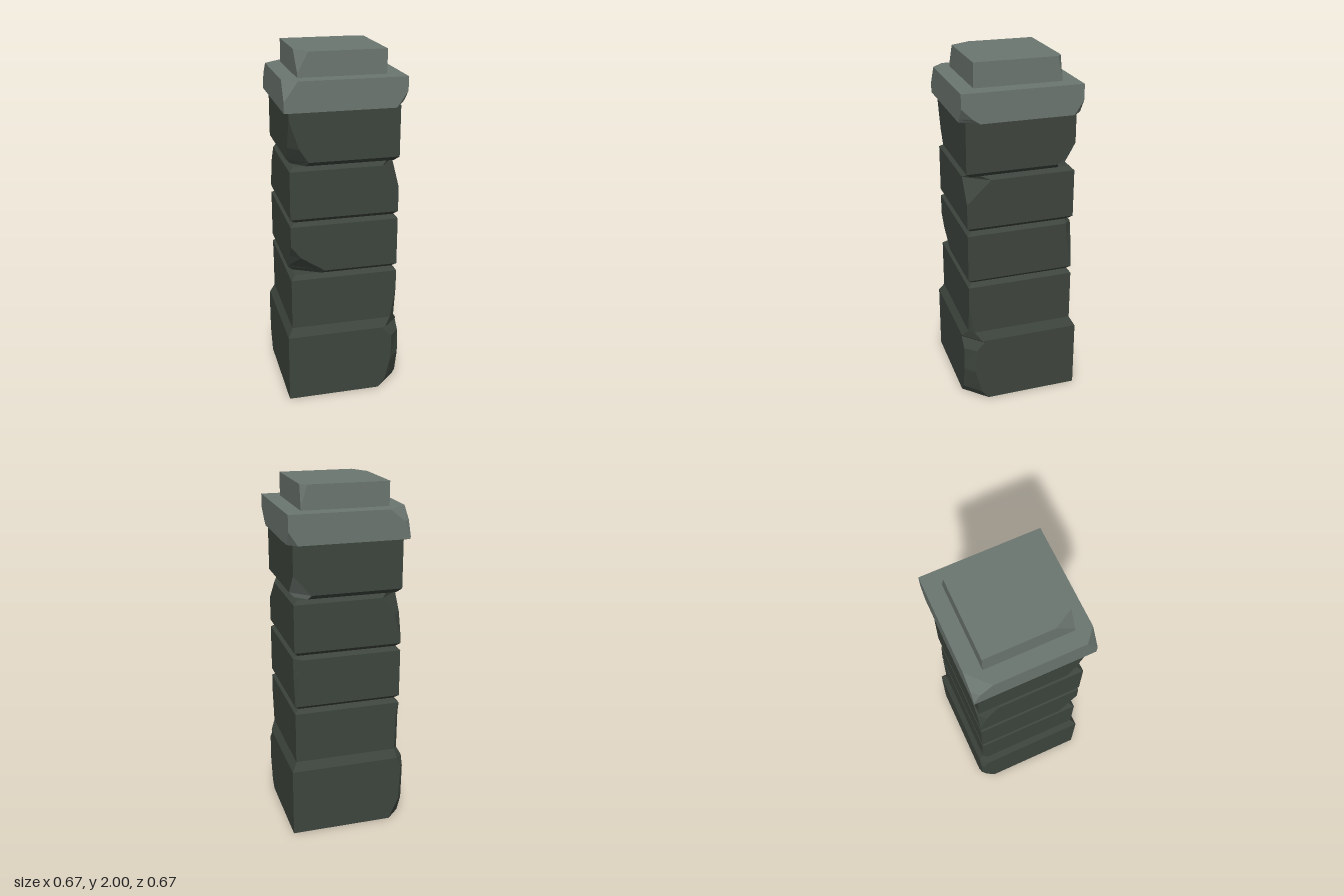
import * as THREE from 'three';

const darkStone = new THREE.MeshStandardMaterial({ color: 0x3d443d });
darkStone.name = 'darkStone';
const paleStone = new THREE.MeshStandardMaterial({ color: 0x6c7670 });
paleStone.name = 'paleStone';

// Corners in counter-clockwise order seen from above
const CORNERS = [['frontLeft', 1, 1], ['backLeft', 1, -1], ['backRight', -1, -1], ['frontRight', -1, 1]];

// Piecewise linear lookup in rows of [y, ...values]; zero outside when open
function sample(rows, y, col, open) {
  if (!rows) return 0;
  const last = rows.length - 1;
  if (y < rows[0][0]) return open ? 0 : rows[0][col];
  if (y > rows[last][0]) return open ? 0 : rows[last][col];
  for (let i = 0; i < last; i++) {
    const a = rows[i], b = rows[i + 1];
    if (y <= b[0]) return a[col] + (b[col] - a[col]) * (y - a[0]) / (b[0] - a[0]);
  }
  return rows[last][col];
}

// Square block: profile rows [y, half width]; chips per corner, rows [y, cut along x, cut along z]
function block(name, material, profile, chips = {}, paleCorner = null) {
  const ys = new Set(profile.map(p => p[0]));
  for (const rows of Object.values(chips)) rows.forEach(r => ys.add(r[0]));
  const levels = [...ys].sort((a, b) => a - b);

  const rings = levels.map(y => {
    const h = sample(profile, y, 1, false);
    const ring = [];
    for (const [corner, sx, sz] of CORNERS) {
      const cx = sample(chips[corner], y, 1, true);
      const cz = sample(chips[corner], y, 2, true);
      const onZ = new THREE.Vector3(sx * (h - cx), y, sz * h);
      const onX = new THREE.Vector3(sx * h, y, sz * (h - cz));
      ring.push(...(sx * sz > 0 ? [onZ, onX] : [onX, onZ]));
    }
    return ring;
  });

  const faces = [[], []];
  const tri = (slot, a, b, c) => {
    const area = b.clone().sub(a).cross(c.clone().sub(a)).length();
    if (area > 1e-8) for (const p of [a, b, c]) faces[slot].push(p.x, p.y, p.z);
  };
  for (let k = 0; k < rings.length - 1; k++) {
    const lo = rings[k], hi = rings[k + 1];
    for (let i = 0; i < 8; i++) {
      const j = (i + 1) % 8;
      const slot = i % 2 === 0 && CORNERS[i / 2][0] === paleCorner ? 1 : 0;
      tri(slot, lo[i], lo[j], hi[j]);
      tri(slot, lo[i], hi[j], hi[i]);
    }
  }
  const bottom = rings[0], top = rings[rings.length - 1];
  for (let i = 1; i < 7; i++) {
    tri(0, bottom[0], bottom[i + 1], bottom[i]);
    tri(0, top[0], top[i], top[i + 1]);
  }

  const geometry = new THREE.BufferGeometry();
  geometry.setAttribute('position', new THREE.Float32BufferAttribute(faces.flat(), 3));
  geometry.computeVertexNormals();
  geometry.addGroup(0, faces[0].length / 3, 0);
  if (faces[1].length) geometry.addGroup(faces[0].length / 3, faces[1].length / 3, 1);
  const mesh = new THREE.Mesh(geometry, paleCorner ? [material, paleStone] : material);
  mesh.name = name;
  return mesh;
}

export function createModel() {
  const pillar = new THREE.Group();
  pillar.name = 'stonePillar';
  const W = 0.305, G = 0.28; // shaft and groove half widths

  // Wide foot with a bevelled shoulder
  pillar.add(block('base', darkStone, [[0, 0.333], [0.4, 0.333], [0.45, W]], {
    frontLeft: [[0, 0.13, 0.13], [0.05, 0.09, 0.09], [0.2, 0.055, 0.05], [0.34, 0.055, 0.06],
      [0.39, 0.11, 0.11], [0.45, 0.03, 0.03]],
    backRight: [[0, 0.08, 0.08], [0.12, 0.025, 0.025], [0.34, 0.015, 0.015], [0.4, 0.04, 0.04], [0.45, 0.02, 0.02]],
  }));

  // Four shaft blocks separated by grooves
  pillar.add(block('shaftBlock1', darkStone, [[0.45, W], [0.745, W], [0.768, G]], {
    frontLeft: [[0.45, 0.03, 0.03], [0.64, 0, 0]],
    backRight: [[0.45, 0.02, 0.02], [0.68, 0.015, 0.015], [0.745, 0, 0]],
  }));
  pillar.add(block('shaftBlock2', darkStone, [[0.768, G], [0.79, W], [1.065, W], [1.085, G]], {
    frontRight: [[0.768, 0.15, 0.08], [0.79, 0.19, 0.1], [0.88, 0.055, 0.05], [0.95, 0, 0]],
    backLeft: [[0.8, 0, 0], [0.96, 0.02, 0.03], [1.065, 0.04, 0.04], [1.085, 0.01, 0.01]],
  }));
  pillar.add(block('shaftBlock3', darkStone, [[1.085, G], [1.108, W], [1.38, W], [1.4, G]], {
    frontLeft: [[1.25, 0, 0], [1.38, 0.095, 0.135], [1.4, 0.04, 0.06]],
    backRight: [[1.14, 0, 0], [1.28, 0.04, 0.04], [1.38, 0.11, 0.11], [1.4, 0.06, 0.06]],
  }));
  pillar.add(block('shaftBlock4', darkStone, [[1.4, G], [1.425, W], [1.71, W]], {
    frontRight: [[1.4, 0.07, 0.07], [1.425, 0.105, 0.1], [1.5, 0.055, 0.055], [1.66, 0, 0]],
    backLeft: [[1.4, 0.06, 0.06], [1.425, 0.1, 0.1], [1.54, 0, 0]],
  }, 'backLeft'));

  // Overhanging cap slab
  pillar.add(block('capSlab', paleStone, [[1.703, 0.333], [1.867, 0.333]], {
    frontLeft: [[1.703, 0.06, 0.1], [1.73, 0.04, 0.06], [1.79, 0, 0]],
    frontRight: [[1.76, 0, 0], [1.867, 0.075, 0.065]],
    backLeft: [[1.703, 0.05, 0.05], [1.78, 0, 0]],
    backRight: [[1.72, 0, 0], [1.8, 0.035, 0.035], [1.867, 0.115, 0.105]],
  }));

  // Smaller block on top
  pillar.add(block('topBlock', paleStone, [[1.867, 0.243], [2, 0.243]], {
    frontRight: [[1.89, 0, 0], [2, 0.06, 0.11]],
    backLeft: [[1.88, 0, 0], [2, 0.035, 0.025]],
  }));
  return pillar;
}
